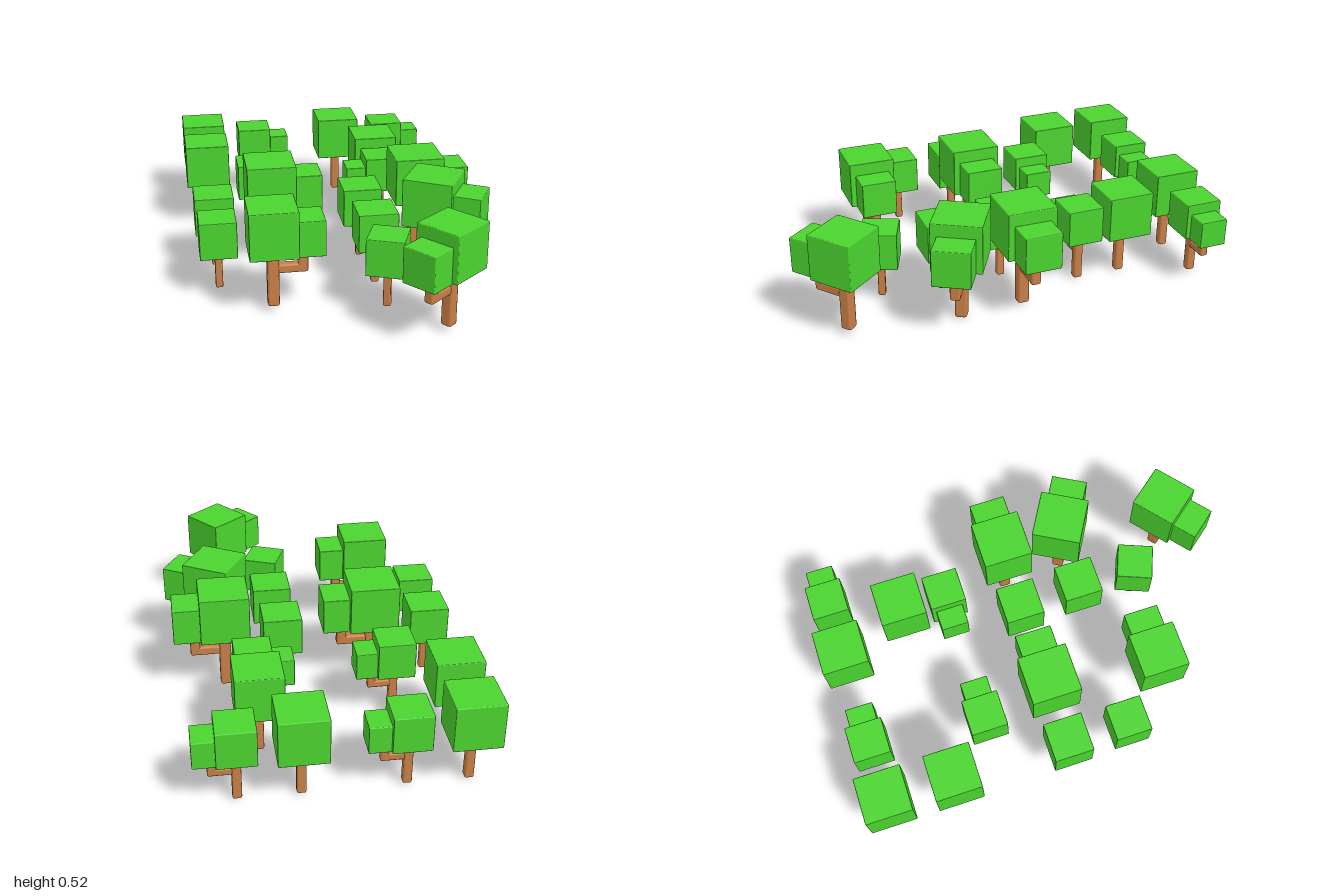
import * as THREE from 'three';
import { RoundedBoxGeometry } from 'three/addons/geometries/RoundedBoxGeometry.js';

const leaf = new THREE.MeshStandardMaterial({ color: 0x4bd42f });
const bark = new THREE.MeshStandardMaterial({ color: 0xc97f47 });

// Block with slightly softened edges; y is its underside
function block(parent, name, material, w, h, d, x, y, bevel) {
  const mesh = new THREE.Mesh(new RoundedBoxGeometry(w, h, d, 1, bevel), material);
  mesh.name = name;
  mesh.position.set(x, y + h / 2, 0);
  parent.add(mesh);
}

// Tree kinds: s crown width, h crown height, y crown underside, t trunk width, foot trunk bottom
// side: second crown of width s, height h at offset x; branch underside b, post offset p, thickness t
const kinds = {
  single: { s: 0.217, h: 0.217, y: 0.222, t: 0.042, foot: 0.005 },
  small: { s: 0.185, h: 0.185, y: 0.19, t: 0.037, foot: 0 },
  tiny: { s: 0.17, h: 0.175, y: 0.2, t: 0.034, foot: 0.025 },
  forked: { s: 0.172, h: 0.175, y: 0.222, t: 0.041, foot: 0.007,
    side: { s: 0.13, h: 0.13, y: 0.218, x: 0.118, b: 0.135, p: 0.103, t: 0.036 } },
  tallForked: { s: 0.232, h: 0.23, y: 0.29, t: 0.056, foot: 0.003,
    side: { s: 0.173, h: 0.174, y: 0.286, x: 0.155, b: 0.176, p: 0.142, t: 0.046 } },
  midForked: { s: 0.217, h: 0.22, y: 0.292, t: 0.053, foot: 0.028,
    side: { s: 0.165, h: 0.168, y: 0.286, x: 0.145, b: 0.187, p: 0.134, t: 0.044 } },
};

function makeTree(kind, x, z, turn = 0) {
  const k = kinds[kind];
  const tree = new THREE.Group();
  tree.name = kind + 'Tree';
  block(tree, 'trunk', bark, k.t, k.y + 0.03 - k.foot, k.t, 0, k.foot, k.t * 0.2);
  block(tree, 'crown', leaf, k.s, k.h, k.s, 0, k.y, 0.004);
  if (k.side) {
    const b = k.side;
    const length = b.p + b.t / 2;
    block(tree, 'branch', bark, length, b.t * 0.95, b.t, length / 2, b.b, b.t * 0.2);
    block(tree, 'branchPost', bark, b.t, b.y + 0.03 - b.b, b.t, b.p, b.b, b.t * 0.2);
    block(tree, 'sideCrown', leaf, b.s, b.h, b.s, b.x, b.y, 0.004);
  }
  tree.position.set(x, 0, z);
  tree.rotation.y = THREE.MathUtils.degToRad(turn);
  return tree;
}

export function createModel() {
  const grove = new THREE.Group();
  grove.name = 'grove';
  // kind, x, z, turn in degrees
  const layout = [
    ['single', -0.572, -0.893], ['forked', -0.3, -0.893],
    ['single', 0.155, -0.893], ['forked', 0.427, -0.893],
    ['single', -0.572, -0.57], ['single', 0.3, -0.57],
    ['forked', -0.347, -0.35], ['forked', 0.3, -0.35, 180],
    ['small', -0.572, -0.02], ['tallForked', -0.301, -0.022],
    ['small', 0.134, -0.02], ['tallForked', 0.405, -0.022],
    ['tiny', -0.573, 0.272], ['small', 0.152, 0.281],
    ['tallForked', 0.423, 0.28, -30], ['midForked', -0.347, 0.49],
    ['tiny', 0.152, 0.572, -22], ['midForked', 0.376, 0.79, -141],
  ];
  for (const spot of layout) grove.add(makeTree(...spot));
  return grove;
}
